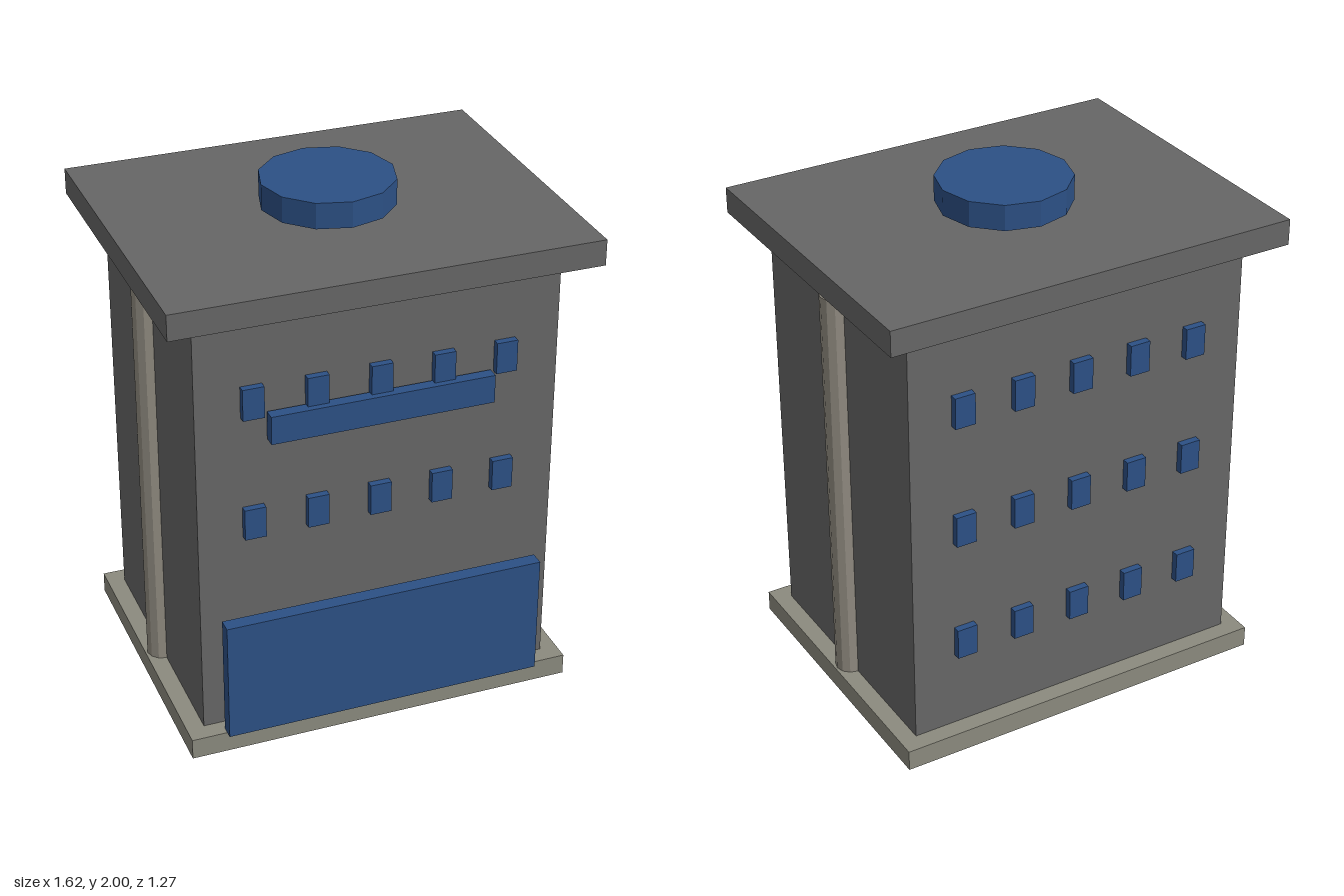
import * as THREE from 'three';

export function createModel() {
  const building = new THREE.Group();
  building.name = 'building';

  const mat = (name, color) => {
    const m = new THREE.MeshStandardMaterial({ color });
    m.name = name;
    return m;
  };
  const wallGrey = mat('wall grey', 0x666666);
  const stone = mat('base stone', 0x8b8a7e);
  const columnStone = mat('column stone', 0x928d82);
  const blue = mat('trim blue', 0x2c5085);

  const add = (name, geometry, material, x, y, z, parent = building) => {
    const mesh = new THREE.Mesh(geometry, material);
    mesh.name = name;
    mesh.position.set(x, y, z);
    parent.add(mesh);
    return mesh;
  };
  // Box given by width, its bottom and top, and its back and front
  const slab = (name, material, width, y0, y1, z0, z1) =>
    add(name, new THREE.BoxGeometry(width, y1 - y0, z1 - z0), material, 0, (y0 + y1) / 2, (z0 + z1) / 2);
  // Faceted twelve-sided drum
  const drum = (radius, height) => new THREE.CylinderGeometry(radius, radius, height, 12).toNonIndexed();
  const faceted = (geometry) => {
    geometry.computeVertexNormals();
    return geometry;
  };

  // Main masses
  slab('base', stone, 1.52, 0, 0.083, -0.593, 0.593);
  slab('walls', wallGrey, 1.384, 0.083, 1.778, -0.523, 0.523);
  slab('roof', wallGrey, 1.62, 1.786, 1.886, -0.635, 0.635);

  // Front panel and balcony
  slab('entrancePanel', blue, 1.246, 0.083, 0.567, 0.565, 0.621);
  slab('balcony', blue, 0.854, 1.276, 1.387, 0.53, 0.576);

  // Round roof cap
  add('roofCap', faceted(drum(0.254, 0.1)), blue, 0, 1.95, 0);

  // Half-embedded columns on both sides
  for (const side of [-1, 1]) {
    add(side > 0 ? 'leftColumn' : 'rightColumn', faceted(drum(0.06, 1.622)), columnStone, side * 0.692, 0.894, 0);
  }

  // Window rows, front and back
  const windows = new THREE.Group();
  windows.name = 'windows';
  building.add(windows);
  const pane = new THREE.BoxGeometry(0.081, 0.124, 0.056);
  for (const side of [-1, 1]) {
    for (const y of [0.455, 0.947, 1.438]) {
      for (let i = -2; i <= 2; i++) {
        add(side > 0 ? 'frontWindow' : 'backWindow', pane, blue, i * 0.241, y, side * 0.523, windows);
      }
    }
  }

  return building;
}
